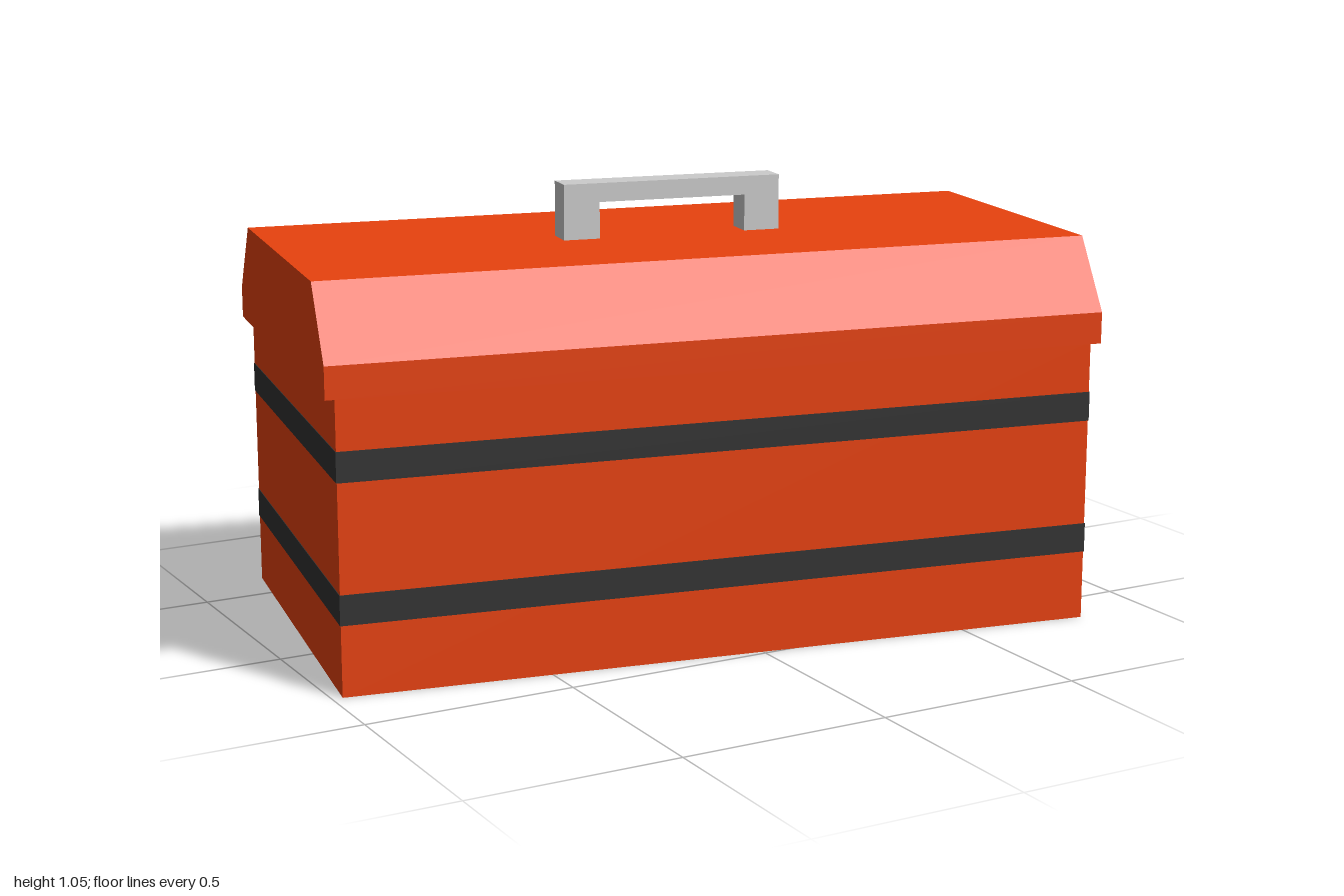
import * as THREE from 'three';

const material = (color) => new THREE.MeshStandardMaterial({ color, flatShading: true });
const red = material(0xe8420e);
const dark = material(0x333333);
const grey = material(0xcccccc);

// Box given by its centre in x and z and its bottom and top heights
function box(name, mat, width, depth, y0, y1, x = 0, z = 0) {
  const mesh = new THREE.Mesh(new THREE.BoxGeometry(width, y1 - y0, depth), mat);
  mesh.position.set(x, (y0 + y1) / 2, z);
  mesh.name = name;
  return mesh;
}

// Profile of [z, y] points, extruded along x and centred on x
function prism(name, mat, points, width, x = 0) {
  const shape = new THREE.Shape(points.map(([z, y]) => new THREE.Vector2(z, y)));
  const geometry = new THREE.ExtrudeGeometry(shape, { depth: width, bevelEnabled: false });
  geometry.rotateY(-Math.PI / 2).translate(width / 2, 0, 0);
  const mesh = new THREE.Mesh(geometry, mat);
  mesh.position.x = x;
  mesh.name = name;
  return mesh;
}

export function createModel() {
  const model = new THREE.Group();
  model.name = 'toolbox';
  const toolbox = new THREE.Group();
  toolbox.name = 'turnedToolbox';
  toolbox.rotation.y = -THREE.MathUtils.degToRad(10);
  model.add(toolbox);

  // Body with two dark bands
  toolbox.add(box('body', red, 1.812, 0.96, 0, 0.68, 0, 0.002));
  for (const [y0, y1] of [[0.165, 0.235], [0.488, 0.558]]) {
    toolbox.add(box('band', dark, 1.815, 0.963, y0, y1, 0, 0.002));
  }

  // Lid: straight rim, sloped front and back, flat top
  toolbox.add(prism('lid', red, [
    [-0.49, 0.675], [0.49, 0.675], [0.49, 0.75],
    [0.378, 0.915], [-0.378, 0.915], [-0.49, 0.75],
  ], 1.858));

  // Carrying handle
  const handle = new THREE.Group();
  handle.name = 'handle';
  handle.position.set(0.012, 0, 0.0115);
  handle.add(box('handleBar', grey, 0.54, 0.074, 1.002, 1.047));
  for (const side of [-1, 1]) {
    handle.add(box('handleLeg', grey, 0.088, 0.074, 0.91, 1.002, side * 0.226));
  }
  toolbox.add(handle);

  // Latch on the back: two plates and a chamfered clasp
  const latch = new THREE.Group();
  latch.name = 'latch';
  latch.position.x = -0.021;
  latch.add(box('upperPlate', grey, 0.116, 0.03, 0.677, 0.747, 0, -0.497));
  latch.add(box('lowerPlate', grey, 0.116, 0.045, 0.442, 0.555, 0, -0.4885));
  latch.add(prism('clasp', dark, [
    [-0.505, 0.493], [-0.505, 0.718], [-0.537, 0.718],
    [-0.547, 0.706], [-0.547, 0.505], [-0.537, 0.493],
  ], 0.076));
  toolbox.add(latch);

  return model;
}
